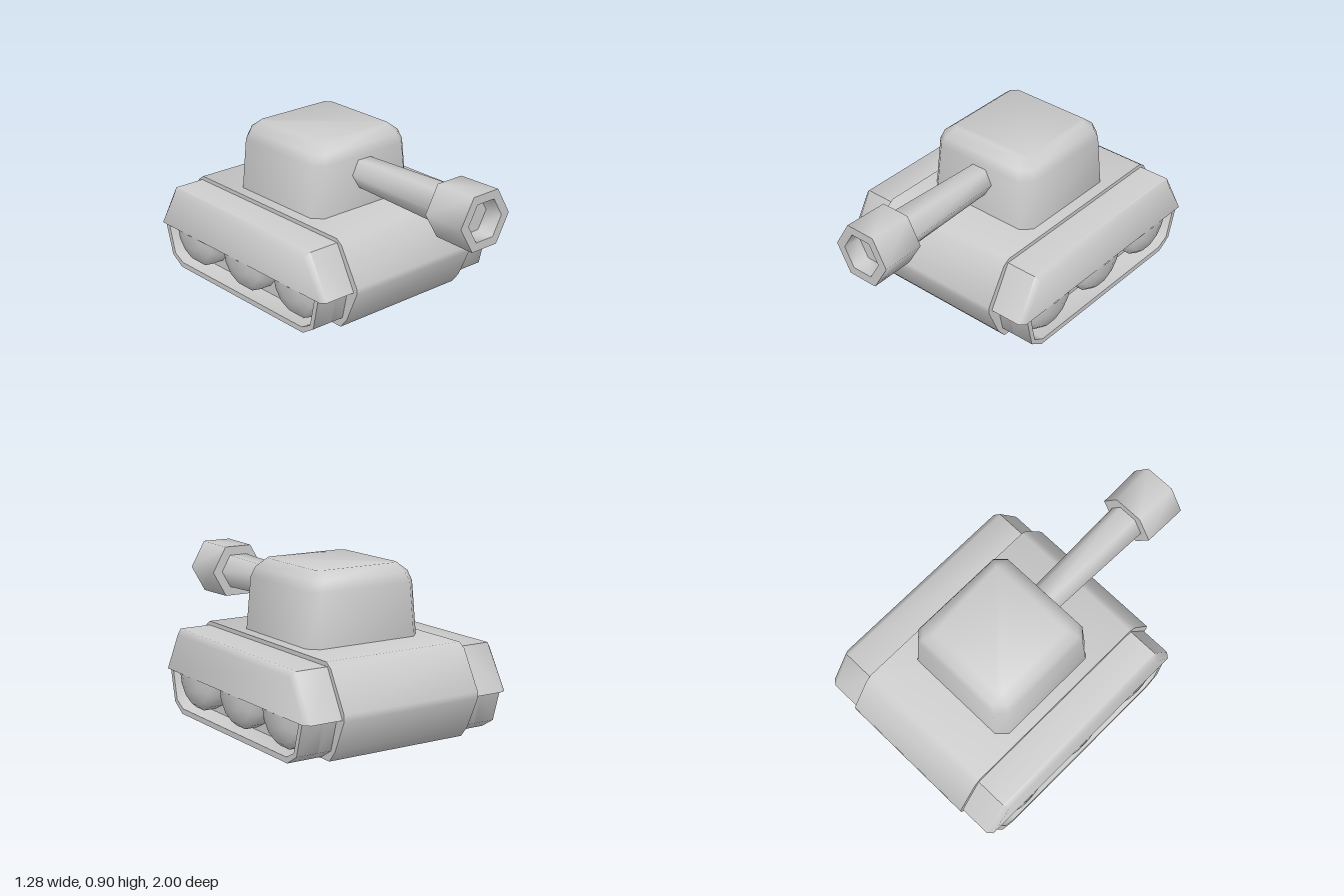
import * as THREE from 'three';
import { toCreasedNormals } from 'three/addons/utils/BufferGeometryUtils.js';

const material = new THREE.MeshStandardMaterial({ color: 0xcccccc, side: THREE.DoubleSide });

function addPart(parent, name, geometry, crease = 1.2) {
  const mesh = new THREE.Mesh(toCreasedNormals(geometry, crease), material);
  mesh.name = name;
  parent.add(mesh);
  return mesh;
}

// Side profile of [z, y] points, extruded from x0 to x1
function prism(points, x0, x1) {
  const shape = new THREE.Shape(points.map(([z, y]) => new THREE.Vector2(z, y)));
  return new THREE.ExtrudeGeometry(shape, { depth: x1 - x0, bevelEnabled: false })
    .rotateY(-Math.PI / 2).translate(x1, 0, 0);
}

// Skin over convex rings of [x, y, z] points, capped at both ends
function loft(rings) {
  const n = rings[0].length, index = [];
  for (let r = 0; r < rings.length - 1; r++) {
    for (let i = 0; i < n; i++) {
      const a = r * n + i, b = r * n + (i + 1) % n;
      index.push(a, b, b + n, a, b + n, a + n);
    }
  }
  const last = (rings.length - 1) * n;
  for (let i = 1; i < n - 1; i++) {
    index.push(0, i + 1, i, last, last + i, last + i + 1);
  }
  const geometry = new THREE.BufferGeometry();
  geometry.setAttribute('position', new THREE.Float32BufferAttribute(rings.flat(2), 3));
  geometry.setIndex(index);
  return geometry;
}

// Rectangle with cut corners, counter-clockwise seen from above
function turretRing(y, hx, hz, cut) {
  const zc = -0.25;
  return [
    [hx, hz - cut], [hx, cut - hz], [hx - cut, -hz], [cut - hx, -hz],
    [-hx, cut - hz], [-hx, hz - cut], [cut - hx, hz], [hx - cut, hz],
  ].map(([x, z]) => [x, y, z + zc]);
}

// Six-sided turned part along z, from [radius, z] points
function hexTurned(points) {
  return new THREE.LatheGeometry(points.map(([r, z]) => new THREE.Vector2(r, z)), 6, Math.PI / 2)
    .rotateX(Math.PI / 2).translate(0, 0.7, 0);
}

function createSide() {
  const side = new THREE.Group();

  // Fender with bevelled outer edges
  const full = [[0.475, 0.24], [0.345, 0.485], [-0.85, 0.485], [-0.985, 0.24]];
  const inset = [[0.45, 0.24], [0.325, 0.455], [-0.83, 0.455], [-0.96, 0.24]];
  const at = (x, profile) => profile.map(([z, y]) => [x, y, z]);
  addPart(side, 'fender', loft([at(0.41, full), at(0.605, full), at(0.635, inset)]), 1.0);

  // Track band around a recess
  const outer = [[0.43, 0.25], [0.385, 0.06], [0.3, 0.007], [-0.8, 0.007], [-0.885, 0.06], [-0.94, 0.25]];
  const inner = [[0.4, 0.25], [0.36, 0.075], [0.29, 0.038], [-0.79, 0.038], [-0.86, 0.075], [-0.91, 0.25]];
  addPart(side, 'trackWall', prism(outer, 0.41, 0.5));
  addPart(side, 'trackBand', prism([...outer, ...inner.reverse()], 0.5, 0.627));

  // Domed road wheels, lower halves below the fender
  for (const z of [0.195, -0.25, -0.69]) {
    const dome = [[0.195, 0.48], [0.195, 0.57], [0.165, 0.605], [0.09, 0.63], [0, 0.64]];
    const wheel = new THREE.LatheGeometry(
      dome.map(([r, x]) => new THREE.Vector2(r, x)), 7, 0, Math.PI)
      .rotateZ(-Math.PI / 2).translate(0, 0.242, z);
    addPart(side, 'roadWheel', wheel);
  }
  return side;
}

export function createModel() {
  const model = new THREE.Group();
  model.name = 'tank';

  // Hull
  addPart(model, 'hull', prism([
    [0.37, 0], [0.42, 0.06], [0.5, 0.235], [0.5, 0.27], [0.38, 0.48], [0.34, 0.508],
    [-0.84, 0.508], [-0.88, 0.48], [-1, 0.27], [-1, 0.235], [-0.92, 0.06], [-0.87, 0],
  ], -0.422, 0.422));

  // Tracks, left and mirrored right
  const left = createSide();
  left.name = 'leftTrack';
  const right = createSide();
  right.name = 'rightTrack';
  right.scale.x = -1;
  model.add(left, right);

  // Turret
  addPart(model, 'turret', loft([
    turretRing(0.5, 0.355, 0.354, 0.055),
    turretRing(0.8, 0.335, 0.338, 0.055),
    turretRing(0.855, 0.315, 0.322, 0.055),
    turretRing(0.902, 0.26, 0.265, 0.03),
  ]));

  // Gun
  addPart(model, 'barrel', hexTurned([[0.088, 0], [0.111, 0.78]]));
  addPart(model, 'muzzle', hexTurned([
    [0, 0.742], [0.17, 0.742], [0.175, 1], [0.12, 1], [0.112, 0.9], [0, 0.9],
  ]));
  return model;
}
